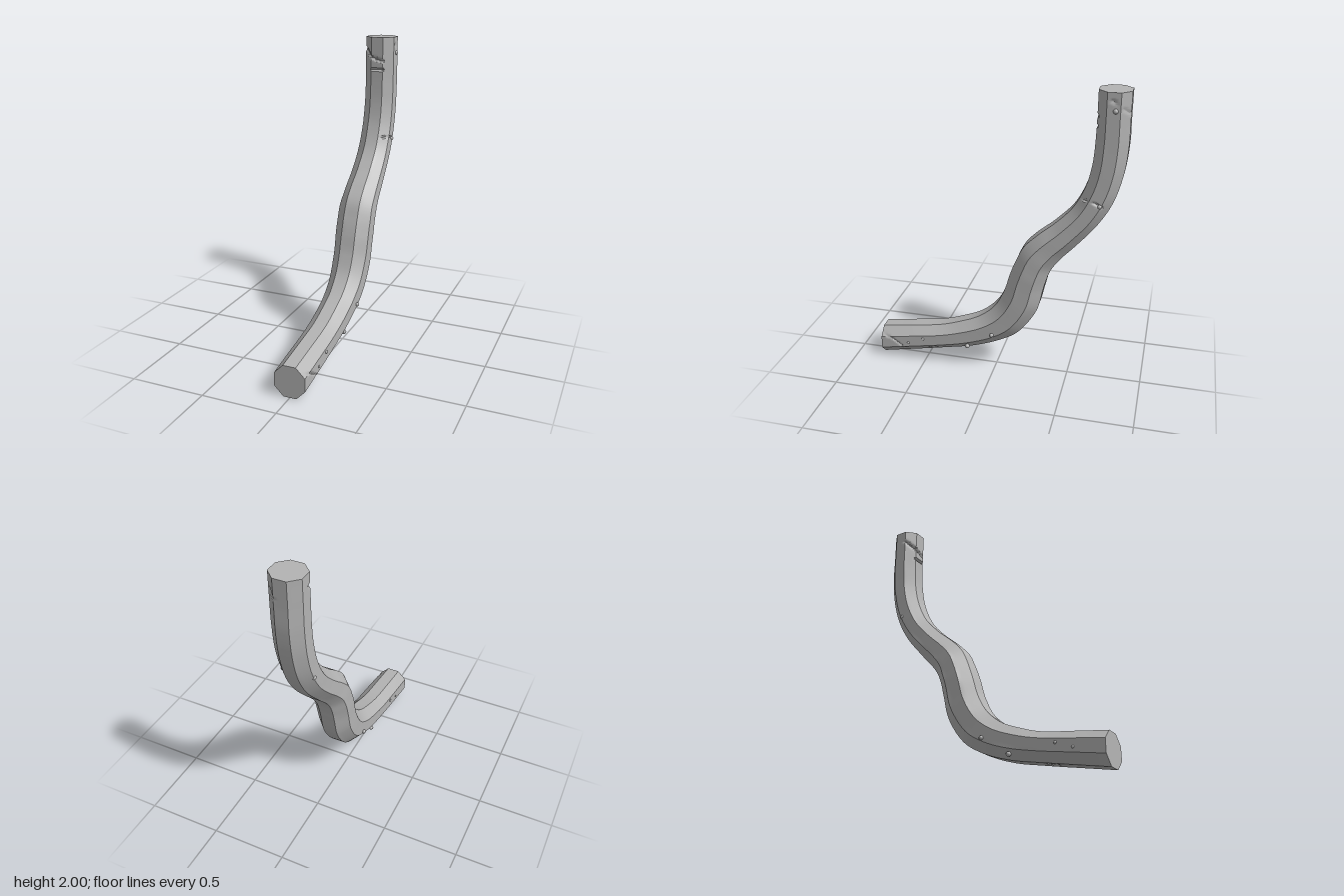
import * as THREE from 'three';
import { toCreasedNormals } from 'three/addons/utils/BufferGeometryUtils.js';

const wood = new THREE.MeshStandardMaterial({ color: 0xb4b4b4 });
wood.name = 'plain grey';

// Stations along the branch: [upper edge z, y, lower edge z, y, half width]
const STATIONS = [
  [0.82, 0.21, 0.82, 0.0, 0.103], [0.62, 0.24, 0.6, 0.045, 0.104],
  [0.4, 0.275, 0.36, 0.095, 0.104], [0.245, 0.325, 0.165, 0.14, 0.105],
  [0.11, 0.387, -0.02, 0.21, 0.107], [0.005, 0.48, -0.165, 0.305, 0.112],
  [-0.06, 0.6, -0.28, 0.475, 0.117], [-0.1, 0.73, -0.325, 0.645, 0.119],
  [-0.14, 0.84, -0.345, 0.72, 0.119], [-0.19, 0.94, -0.375, 0.8, 0.117],
  [-0.275, 1.03, -0.43, 0.88, 0.113], [-0.39, 1.13, -0.53, 0.99, 0.108],
  [-0.5, 1.25, -0.655, 1.14, 0.105], [-0.57, 1.39, -0.745, 1.3, 0.104],
  [-0.605, 1.53, -0.797, 1.48, 0.103], [-0.617, 1.68, -0.817, 1.66, 0.102],
  [-0.62, 1.84, -0.817, 1.83, 0.102], [-0.62, 2.0, -0.817, 2.0, 0.102],
];

const v = (x, y, z) => new THREE.Vector3(x, y, z);

// Cracks as polylines on the surface: width, depth, points
const CRACKS = [
  [0.01, 0.014, [v(0.1, 0.17, 0.82), v(0.1, 0.15, 0.74), v(0.1, 0.1, 0.67), v(0.07, 0.04, 0.64)]],
  [0.016, 0.016, [v(-0.1, 1.92, -0.68), v(-0.04, 1.86, -0.62), v(0.04, 1.84, -0.62)]],
  [0.012, 0.018, [v(-0.06, 1.78, -0.617), v(0.06, 1.78, -0.617)]],
  [0.013, 0.018, [v(0.07, 1.32, -0.55), v(0.1, 1.31, -0.64), v(0.1, 1.28, -0.69)]],
  [0.015, 0.012, [v(0.1, 1.95, -0.71), v(0.08, 1.9, -0.77), v(0.04, 1.87, -0.81)]],
  [0.013, 0.02, [v(-0.03, 0.075, 0.47), v(0.07, 0.09, 0.47)]],
  [0.013, 0.018, [v(-0.03, 0.085, 0.42), v(0.07, 0.1, 0.42)]],
].map(([width, depth, pts]) => ({
  width, depth,
  lines: pts.slice(1).map((p, i) => new THREE.Line3(pts[i], p)),
}));

function crackDepth(p) {
  const q = v(0, 0, 0);
  let depth = 0;
  for (const c of CRACKS) {
    for (const line of c.lines) {
      line.closestPointToPoint(p, true, q);
      const d = q.distanceTo(p) / c.width;
      if (d < 1) depth = Math.max(depth, c.depth * (1 - d));
    }
  }
  return depth;
}

function branchGeometry() {
  const upper = new THREE.CatmullRomCurve3(STATIONS.map((s) => v(s[4], s[1], s[0])), false, 'catmullrom', 0.5);
  const lower = new THREE.CatmullRomCurve3(STATIONS.map((s) => v(s[4], s[3], s[2])), false, 'catmullrom', 0.5);
  const rings = (STATIONS.length - 1) * 24;
  const sub = 6, n = 8 * sub;
  const pos = [], index = [];

  // Octagon outline with flat top and sides
  const corner = (k) => {
    const a = ((k - 0.5) * Math.PI) / 4, r = 1 / Math.cos(Math.PI / 8);
    return new THREE.Vector2(Math.cos(a) * r, Math.sin(a) * r);
  };
  const outline = [];
  for (let j = 0; j < n; j++) {
    const k = Math.floor(j / sub);
    outline.push(corner(k).lerp(corner(k + 1), (j % sub) / sub));
  }

  // Swept rings, slightly uneven and cut by the cracks
  for (let i = 0; i <= rings; i++) {
    const t = i / rings;
    const a = upper.getPoint(t), b = lower.getPoint(t);
    const mid = v(0, (a.y + b.y) / 2, (a.z + b.z) / 2);
    const up = v(0, (a.y - b.y) / 2, (a.z - b.z) / 2);
    outline.forEach((o, j) => {
      const face = Math.floor(j / sub);
      const wave = 1 + 0.008 * Math.sin(t * 46 + face * 2.3) * Math.sin(t * 19 + face) * Math.sin(Math.PI * t);
      const p = mid.clone().addScaledVector(up, o.y * wave);
      p.x = a.x * o.x * wave;
      const inward = mid.clone().sub(p).normalize();
      const cut = crackDepth(p);
      if (i > 0 && i < rings) p.addScaledVector(inward, cut);
      pos.push(p.x, p.y, p.z);
    });
  }
  for (let i = 0; i < rings; i++) {
    for (let j = 0; j < n; j++) {
      const a = i * n + j, b = i * n + ((j + 1) % n);
      index.push(a, a + n, b, b, a + n, b + n);
    }
  }

  // Flat ends
  const last = rings * n, c0 = pos.length / 3;
  pos.push(0, 0.105, 0.82, 0, 2, -0.7185);
  for (let j = 0; j < n; j++) {
    const k = (j + 1) % n;
    index.push(c0, j, k, c0 + 1, last + k, last + j);
  }

  const geo = new THREE.BufferGeometry();
  geo.setAttribute('position', new THREE.Float32BufferAttribute(pos, 3));
  geo.setIndex(index);
  return toCreasedNormals(geo, 0.6);
}

export function createModel() {
  const group = new THREE.Group();
  group.name = 'bentBranch';

  const branch = new THREE.Mesh(branchGeometry(), wood);
  branch.name = 'branch';
  group.add(branch);

  // Small knots on both sides: x, y, z, radius
  const knotGeo = new THREE.SphereGeometry(1, 12, 8);
  const knots = [
    [0.1, 1.29, -0.67, 0.014], [0.112, 0.285, 0.01, 0.014],
    [0.09, 0.16, 0.19, 0.016], [0.102, 0.175, 0.51, 0.011], [0.1, 0.13, 0.62, 0.01],
  ];
  for (const [x, y, z, r] of knots) {
    for (const side of [1, -1]) {
      const knot = new THREE.Mesh(knotGeo, wood);
      knot.name = side > 0 ? 'leftKnot' : 'rightKnot';
      knot.position.set(side * x, y, z);
      knot.scale.setScalar(r);
      group.add(knot);
    }
  }
  const topKnot = new THREE.Mesh(knotGeo, wood);
  topKnot.name = 'topKnot';
  topKnot.position.set(0.1, 1.89, -0.73);
  topKnot.scale.setScalar(0.016);
  group.add(topKnot);

  return group;
}
